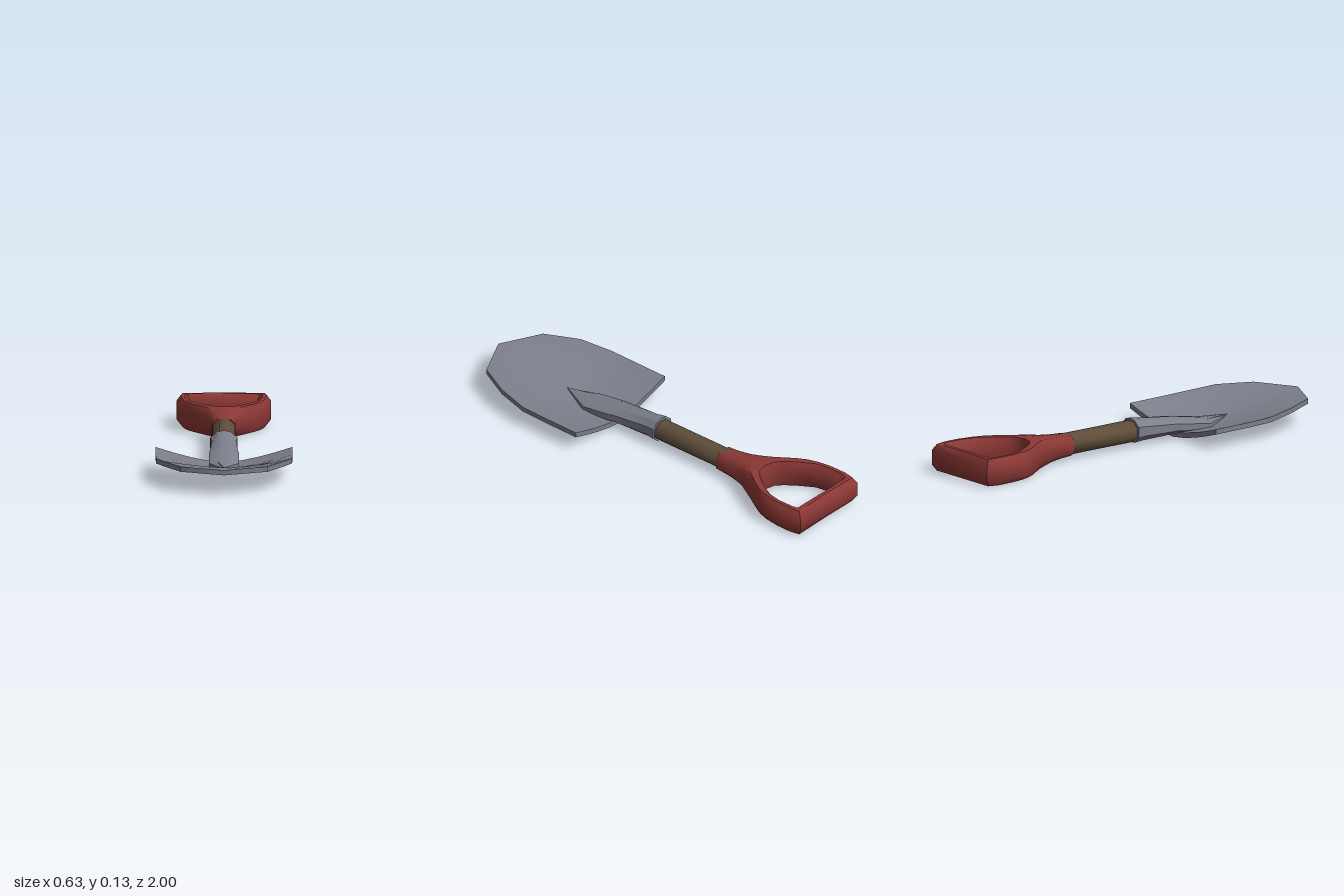
import * as THREE from 'three';
import { mergeGeometries, toCreasedNormals } from 'three/addons/utils/BufferGeometryUtils.js';

const METAL = 0x7c7e8a, WOOD = 0x5f4d39, RED = 0x8c3835;
const AXIS = 0.07; // height of the shaft's centre line

function part(name, geometry, color) {
  const mesh = new THREE.Mesh(geometry, new THREE.MeshStandardMaterial({ color }));
  mesh.name = name;
  return mesh;
}

// Skins rings of [x, y, z] (counterclockwise from +z, listed from back to front)
function loft(rings, crease) {
  const n = rings[0].length, index = [];
  const quad = (a, b, c, d) => index.push(a, b, c, a, c, d);
  for (let k = 0; k < rings.length - 1; k++) {
    for (let i = 0; i < n; i++) {
      const j = (i + 1) % n;
      quad(k * n + i, k * n + j, (k + 1) * n + j, (k + 1) * n + i);
    }
  }
  const last = (rings.length - 1) * n;
  for (let i = 0; i < n / 2 - 1; i++) {
    const q = [i, i + 1, n - 2 - i, n - 1 - i];
    quad(...q.map((v) => v + last));
    quad(...q.reverse());
  }
  const g = new THREE.BufferGeometry();
  g.setAttribute('position', new THREE.Float32BufferAttribute(rings.flat(2), 3));
  g.setIndex(index);
  return toCreasedNormals(g, crease);
}

// Dished blade: pointed outline, curved across its width
function bladeGeometry() {
  const stations = [ // z, half width, underside at centre, underside at edge
    [0.262, 0.315, 0.002, 0.075], [0.45, 0.315, 0.003, 0.077],
    [0.585, 0.313, 0.033, 0.08], [0.74, 0.28, 0.063, 0.094],
    [0.9, 0.2, 0.084, 0.096], [1, 0.001, 0.097, 0.097],
  ];
  const steps = 8, thickness = 0.024;
  const rings = stations.map(([z, hw, yc, ye]) => {
    const bottom = [], top = [];
    for (let i = 0; i <= steps; i++) {
      const t = (i / steps) * 2 - 1;
      const y = yc + (ye - yc) * Math.abs(t) ** 1.45;
      bottom.push([t * hw, y, z]);
      top.unshift([t * hw, y + thickness, z]);
    }
    return [...bottom, ...top];
  });
  return loft(rings, 0.6);
}

// Socket: ridged tube with a collar, fading to a point on the blade
function socketGeometry() {
  const half = [[0.5, -0.95], [1, -0.45], [1, 0.4], [0.5, 0.88]];
  const profile = [[0, -1], ...half, [0, 1], ...half.map(([x, y]) => [-x, y]).reverse()];
  const stations = [ // z, half width, bottom, top
    [0.01, 0.063, 0.018, 0.132], [0.035, 0.061, 0.019, 0.13],
    [0.055, 0.055, 0.02, 0.125], [0.25, 0.065, 0.024, 0.101],
    [0.28, 0.07, 0.02, 0.096], [0.43, 0.068, 0.014, 0.068],
    [0.58, 0.003, 0.04, 0.06],
  ];
  return loft(stations.map(([z, hw, y0, y1]) => profile.map(
    ([x, y]) => [x * hw, (y0 + y1) / 2 + (y * (y1 - y0)) / 2, z])), 0.45);
}

// Shaft: eight-sided pole with flat top and sides
function shaftGeometry() {
  const ring = (z) => Array.from({ length: 8 }, (_, i) => {
    const a = ((i + 0.5) * Math.PI) / 4;
    return [Math.cos(a) * 0.0565, AXIS + Math.sin(a) * 0.051, z];
  });
  return loft([ring(-0.4), ring(0.03)], 0.9);
}

// D-shaped grip: one half swept from the neck round to the crossbar, then mirrored
function gripGeometry() {
  const stations = [ // inner x, inner z, outer x, outer z, half height
    [0, -0.365, 0.055, -0.365, 0.048], [0, -0.43, 0.058, -0.43, 0.051],
    [0, -0.49, 0.066, -0.49, 0.056], [0, -0.54, 0.079, -0.54, 0.062],
    [0, -0.62, 0.102, -0.583, 0.065], [0.03, -0.624, 0.13, -0.632, 0.065],
    [0.062, -0.645, 0.163, -0.688, 0.065], [0.1, -0.695, 0.189, -0.738, 0.065],
    [0.142, -0.775, 0.208, -0.785, 0.065], [0.155, -0.85, 0.218, -0.85, 0.065],
    [0.155, -0.938, 0.218, -0.925, 0.065], [0.155, -0.938, 0.202, -1, 0.063],
    [0, -0.938, 0, -1, 0.065],
  ];
  const bevel = 0.023;
  const halfRings = (side) => stations.map(([ix, iz, ox, oz, h]) => {
    const length = Math.hypot(ox - ix, oz - iz);
    const dx = ((ox - ix) / length) * bevel, dz = ((oz - iz) / length) * bevel;
    const topX = ix === 0 ? 0 : ix + dx; // halves meet on the centre line
    const topZ = iz + dz, low = h * 0.55;
    return [
      [topX, -h, topZ], [ox - dx, -h, oz - dz], [ox, -low, oz], [ox, low, oz],
      [ox - dx, h, oz - dz], [topX, h, topZ], [ix, low, iz], [ix, -low, iz],
    ].map(([x, y, z]) => [x * side, y + AXIS - 0.002, z]);
  });
  const crease = 0.9;
  const halves = [loft(halfRings(1).reverse(), crease), loft(halfRings(-1), crease)];
  return toCreasedNormals(mergeGeometries(halves), crease);
}

export function createModel() {
  const shovel = new THREE.Group();
  shovel.name = 'shovel';
  shovel.add(
    part('blade', bladeGeometry(), METAL),
    part('socket', socketGeometry(), METAL),
    part('shaft', shaftGeometry(), WOOD),
    part('grip', gripGeometry(), RED),
  );
  return shovel;
}
